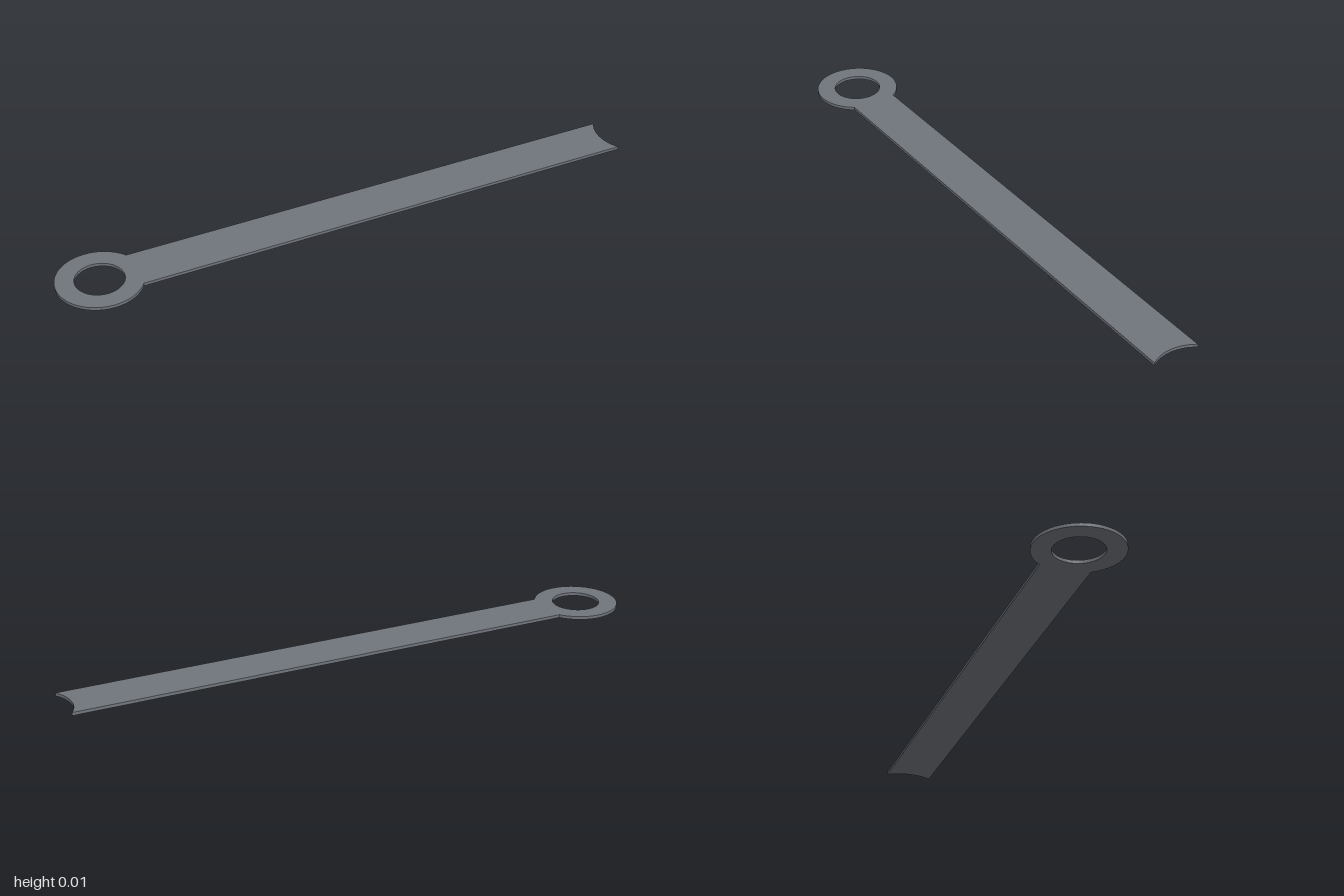
import * as THREE from 'three';
import { toCreasedNormals } from 'three/addons/utils/BufferGeometryUtils.js';

const THICKNESS = 0.0107;
const RING_R = 0.142;   // outer radius of the eye, also of the concave tip
const HOLE_R = 0.08;
const HALF_WIDTH = 0.08; // half width of the bar

export function createModel() {
  const group = new THREE.Group();
  group.name = 'flatLinkArm';

  const eyeX = -1 + RING_R;
  const joint = Math.asin(HALF_WIDTH / RING_R);
  const tipX = 1 + RING_R * Math.cos(joint);

  // Outline: round the eye, along the bar, then the concave tip
  const outline = new THREE.Shape();
  outline.absarc(eyeX, 0, RING_R, joint, Math.PI * 2 - joint, false);
  outline.lineTo(1, -HALF_WIDTH);
  outline.absarc(tipX, 0, RING_R, Math.PI + joint, Math.PI - joint, true);
  outline.closePath();

  // Hole through the eye
  const hole = new THREE.Path();
  hole.absarc(eyeX, 0, HOLE_R, 0, Math.PI * 2, true);
  outline.holes.push(hole);

  // Plate laid flat on the ground
  const plate = new THREE.ExtrudeGeometry(outline, {
    depth: THICKNESS, bevelEnabled: false, curveSegments: 48,
  });
  plate.rotateX(-Math.PI / 2);

  const arm = new THREE.Mesh(
    toCreasedNormals(plate, Math.PI / 6),
    new THREE.MeshStandardMaterial({ color: 0x70757c }),
  );
  arm.name = 'armWithEye';
  group.add(arm);
  return group;
}
